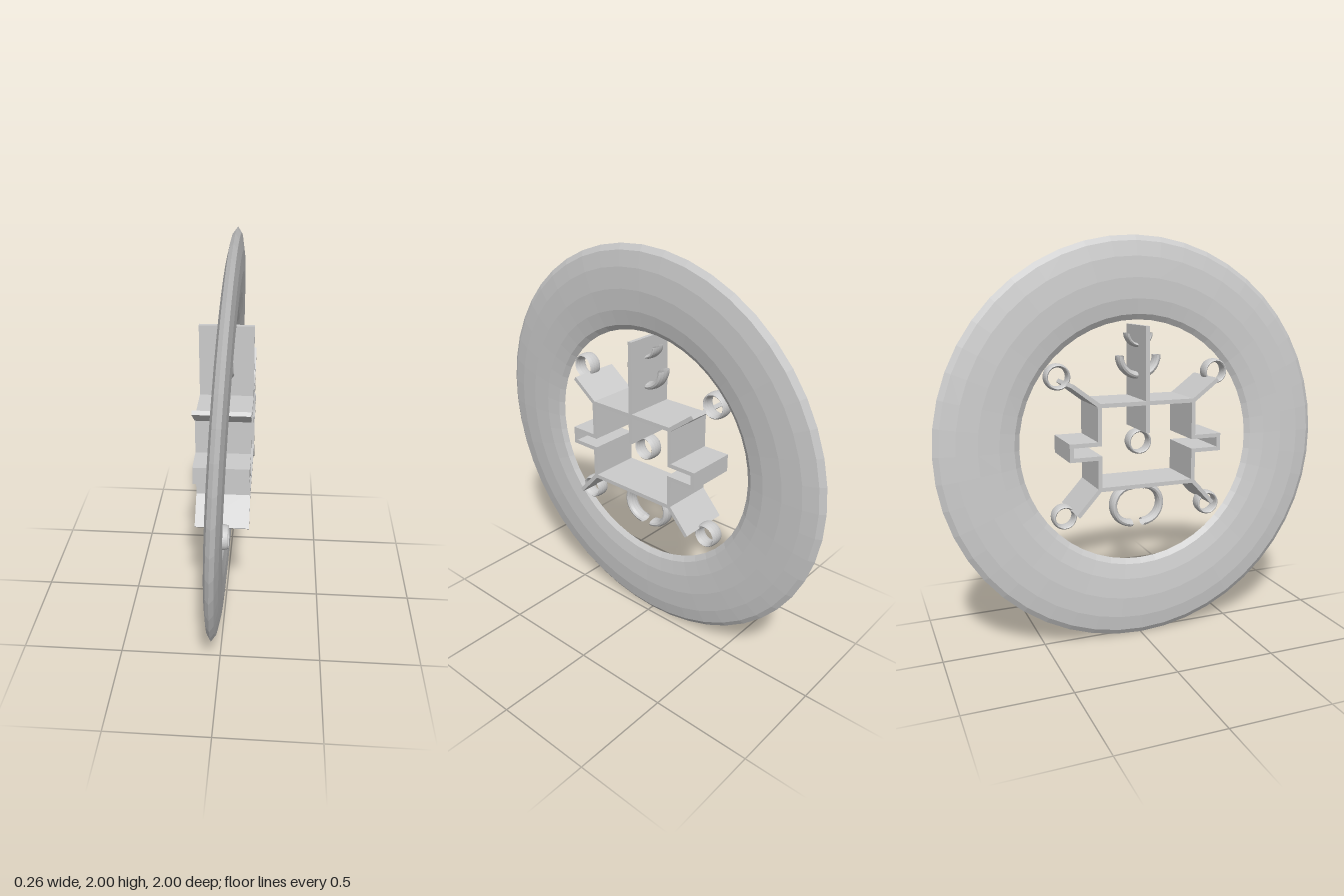
import * as THREE from 'three';

const grey = new THREE.MeshStandardMaterial({ color: 0xcccccc, flatShading: true });
const greyOpen = new THREE.MeshStandardMaterial({ color: 0xcccccc, flatShading: true, side: THREE.DoubleSide });

const DEPTH = 0.26; // plate length along x
const THICK = 0.02; // plate thickness

export function createModel() {
  const model = new THREE.Group();

  // Flat plate running from point a to point b, each given as [z, y]
  function plate(name, a, b) {
    const dz = b[0] - a[0], dy = b[1] - a[1];
    const mesh = new THREE.Mesh(
      new THREE.BoxGeometry(DEPTH, THICK, Math.hypot(dz, dy) + THICK), grey);
    mesh.position.set(0, (a[1] + b[1]) / 2, (a[0] + b[0]) / 2);
    mesh.rotation.x = -Math.atan2(dy, dz);
    mesh.name = name;
    model.add(mesh);
  }

  // Ring or arc around the x axis, its tube stretched to the given half width along x
  function ring(name, z, y, outer, inner, halfWidth, start = 0, arc = Math.PI * 2) {
    const tube = (outer - inner) / 2;
    const geo = new THREE.TorusGeometry((outer + inner) / 2, tube, 12, 48, arc);
    geo.rotateZ(start);
    geo.scale(1, 1, halfWidth / tube);
    geo.rotateY(Math.PI / 2);
    const mesh = new THREE.Mesh(geo, arc < 6 ? greyOpen : grey);
    mesh.position.set(0, y, z);
    mesh.name = name;
    model.add(mesh);
    return mesh;
  }

  // Large outer ring, leaning slightly to +x at the top
  ring('outerRing', 0, 1, 1, 0.6, 0.037).rotation.z = -0.0375;

  // Central frame: top, bottom and upright fin
  plate('frameTop', [-0.243, 1.21], [0.243, 1.21]);
  plate('frameBottom', [-0.243, 0.805], [0.243, 0.805]);
  plate('topFin', [0, 1.075], [0, 1.565]);

  // Frame sides with a square notch, and slanted arms, mirrored in z
  for (const s of [1, -1]) {
    const side = s * 0.243, out = s * 0.382;
    plate('sideUpper', [side, 1.21], [side, 1.028]);
    plate('notchTop', [side, 1.028], [out, 1.028]);
    plate('notchEnd', [out, 1.028], [out, 0.96]);
    plate('notchBottom', [out, 0.96], [side, 0.96]);
    plate('sideLower', [side, 0.96], [side, 0.805]);
    plate('upperArm', [side, 1.21], [s * 0.365, 1.302]);
    plate('lowerArm', [side, 0.805], [s * 0.347, 0.69]);
  }

  // Small rings in the centre and at the arm ends
  ring('centreRing', 0, 1.003, 0.064, 0.045, 0.035);
  ring('upperRing', 0.412, 1.335, 0.064, 0.045, 0.035);
  ring('upperRing', -0.412, 1.34, 0.064, 0.045, 0.035);
  ring('lowerRing', 0.38, 0.65, 0.062, 0.043, 0.035);
  ring('lowerRing', -0.39, 0.655, 0.062, 0.043, 0.035);

  // Half rings hanging through the fin
  ring('smallHook', 0, 1.537, 0.07, 0.048, 0.037, Math.PI, Math.PI);
  ring('largeHook', 0, 1.428, 0.115, 0.078, 0.037, Math.PI, Math.PI);

  // Pair of half rings below the frame
  ring('lowerHalfRing', 0.02, 0.68, 0.114, 0.078, 0.035, Math.PI / 2, Math.PI);
  ring('lowerHalfRing', -0.038, 0.68, 0.114, 0.078, 0.035, -Math.PI / 2, Math.PI);

  return model;
}
